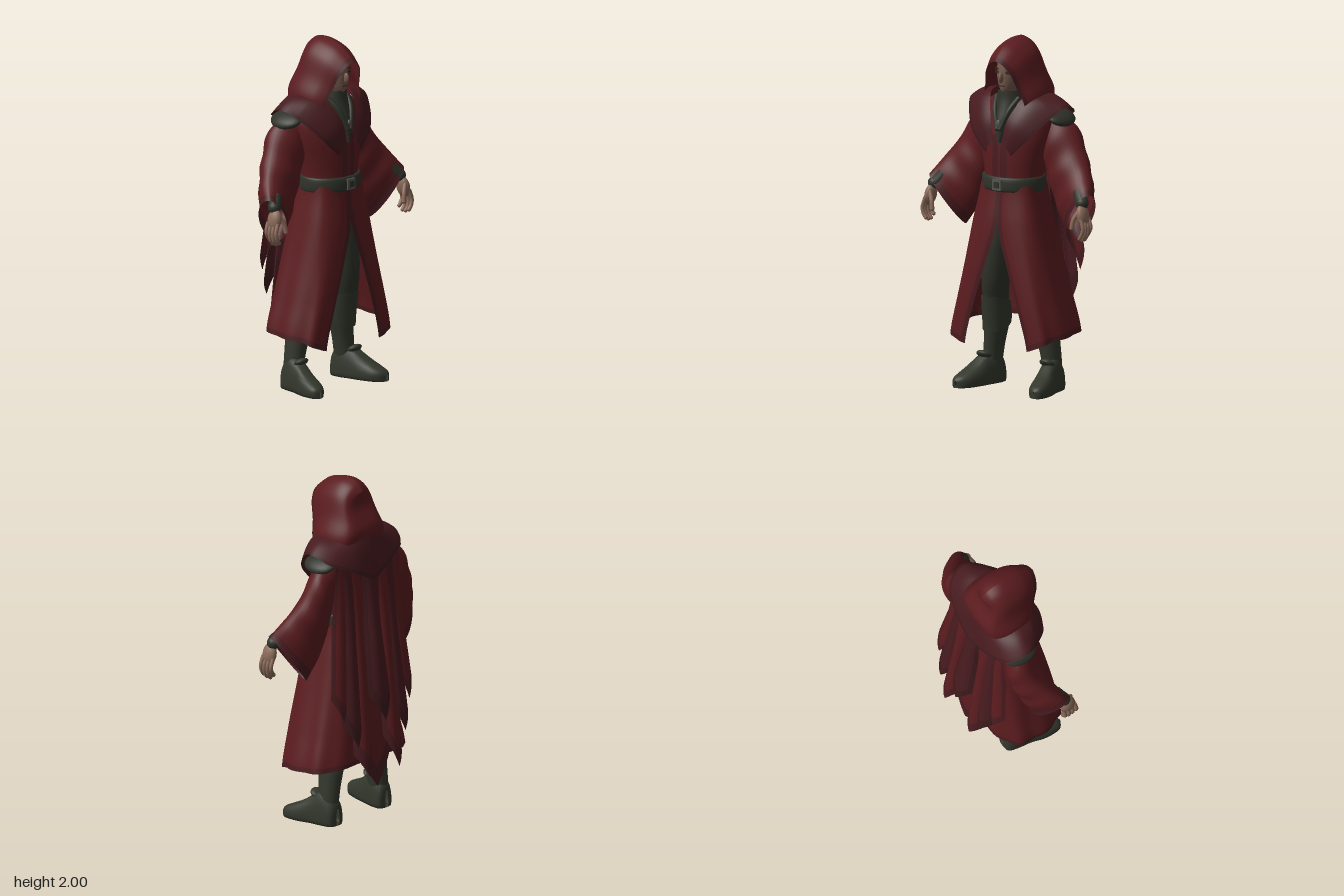
import * as THREE from 'three';
import { mergeVertices } from 'three/addons/utils/BufferGeometryUtils.js';

const material = (name, color) => {
  const m = new THREE.MeshStandardMaterial({ color, side: THREE.DoubleSide });
  m.name = name;
  return m;
};

export function createModel() {
  const model = new THREE.Group();
  model.name = 'hoodedFigure';
  const red = material('robe red', 0x5b1c1f);
  const trim = material('dark red trim', 0x471b1f);
  const deep = material('deep wine pattern', 0x3c191c);
  const green = material('dark olive cloth', 0x2f3229);
  const boot = material('boot leather', 0x33372c);
  const skin = material('hand skin', 0x8a6a59);
  const face = material('face skin', 0x745a4c);
  const dark = material('eye shadow', 0x33241f);
  const metal = material('buckle metal', 0x55554f);

  const add = (name, geo, mat) => {
    const m = new THREE.Mesh(geo, mat);
    m.name = name;
    model.add(m);
    return m;
  };

  // Smooth interpolation through table rows, t in 0..1
  const mix = (rows, t) => {
    const n = rows.length;
    const f = Math.min(Math.max(t, 0), 1) * (n - 1);
    const i = Math.min(Math.floor(f), n - 2), k = f - i;
    const r = (j) => rows[Math.min(Math.max(j, 0), n - 1)];
    return rows[0].map((_, c) => {
      const a = r(i - 1)[c], b = r(i)[c], d = r(i + 1)[c], e = r(i + 2)[c];
      return b + 0.5 * k * (d - a + k * (2 * a - 5 * b + 4 * d - e + k * (3 * (b - d) + e - a)));
    });
  };

  // Grid surface; pick(u, v) chooses a material index per cell
  const surf = (name, fn, nu, nv, mats, pick = () => 0) => {
    const pos = [], lists = [].concat(mats).map(() => []);
    for (let j = 0; j <= nv; j++) for (let i = 0; i <= nu; i++) pos.push(...fn(i / nu, j / nv));
    for (let j = 0; j < nv; j++) for (let i = 0; i < nu; i++) {
      const a = j * (nu + 1) + i, b = a + nu + 1;
      lists[pick((i + 0.5) / nu, (j + 0.5) / nv)].push(a, a + 1, b, a + 1, b + 1, b);
    }
    let geo = new THREE.BufferGeometry();
    geo.setAttribute('position', new THREE.Float32BufferAttribute(pos, 3));
    geo.setIndex(lists.flat());
    if (Array.isArray(mats)) {
      let start = 0;
      lists.forEach((l, k) => { geo.addGroup(start, l.length, k); start += l.length; });
    }
    geo = mergeVertices(geo, 1e-5);
    geo.computeVertexNormals();
    return add(name, geo, mats);
  };

  // Oval loft from rows [y, halfWidth, zFront, zBack]
  const oval = (rows) => (u, v) => {
    const [y, w, f, b] = mix(rows, v), a = u * Math.PI * 2;
    return [w * Math.sin(a), y, (f + b) / 2 + (f - b) / 2 * Math.cos(a)];
  };
  const ball = (name, mat, p, s, rot = [0, 0, 0]) => {
    const m = add(name, new THREE.SphereGeometry(1, 20, 14), mat);
    m.position.set(...p); m.scale.set(...s); m.rotation.set(...rot);
  };
  const tube = (name, mat, pts, r) => {
    const c = new THREE.CatmullRomCurve3(pts.map((p) => new THREE.Vector3(...p)));
    add(name, new THREE.TubeGeometry(c, 10, r, 10), mat);
    ball(name + 'Tip', mat, pts[pts.length - 1], [r, r, r]);
  };
  const box = (name, mat, p, s, rz = 0) => {
    const m = add(name, new THREE.BoxGeometry(...s), mat);
    m.position.set(...p); m.rotation.z = rz;
  };

  // Head and face
  surf('head', oval([[1.66, .04, .15, .04], [1.7, .038, .187, .03], [1.735, .056, .198, .02], [1.79, .072, .202, 0],
    [1.84, .074, .2, -.01], [1.89, .068, .185, 0], [1.93, .03, .13, .04], [1.94, 0, .09, .09]]), 28, 24, face);
  ball('nose', face, [0, 1.785, .206], [.012, .03, .02]);
  box('mouth', dark, [0, 1.738, .198], [.036, .005, .005]);
  for (const s of [1, -1]) {
    box('eye', dark, [s * .031, 1.815, .191], [.032, .014, .009]);
    box('brow', dark, [s * .033, 1.833, .19], [.036, .008, .009], s * .12);
  }

  // Hood built from pointed arches, front to back
  const arch = [[0, 1], [.2, .97], [.45, .77], [.72, .62], [.86, .45], [.95, .25], [1, 0]];
  // rows: zTop, yTop, zBase, yBase, halfWidth, nape bulge
  const hoodRows = [[.265, 1.89, .17, 1.6, .14, 0], [.17, 1.965, .11, 1.62, .18, 0], [.05, 2, .02, 1.63, .192, 0],
    [-.03, 1.985, -.06, 1.63, .175, .008], [-.07, 1.945, -.1, 1.64, .125, .02], [-.076, 1.93, -.112, 1.64, 0, .022]];
  surf('hood', (u, v) => {
    const s = u < .5 ? -1 : 1;
    const [h, f] = mix(arch, 1 - Math.abs(u * 2 - 1));
    const [zt, yt, zb, yb, w, bulge] = mix(hoodRows, v);
    return [s * w * f, yb + (yt - yb) * h, zb + (zt - zb) * h ** 1.3 - bulge * Math.sin(h * Math.PI * 2)];
  }, 48, 30, [red, trim], (u, v) => (v < .06 ? 1 : 0));

  // Scarf at the throat with a small clasp
  surf('scarf', oval([[1.42, .02, .236, .1], [1.52, .055, .232, .05], [1.6, .084, .208, 0], [1.66, .08, .192, 0],
    [1.71, .068, .188, .02]]), 28, 14, green);
  ball('clasp', metal, [0, 1.53, .232], [.014, .022, .01]);
  for (const s of [1, -1]) tube('scarfFold', green, [[s * .075, 1.67, .14], [s * .05, 1.61, .195], [s * .01, 1.5, .232]], .014);

  // Robe body with dark placket
  const torsoRows = [[1.12, .18, .22, -.08], [1.22, .175, .22, -.07], [1.33, .195, .222, -.08], [1.45, .225, .215, -.1],
    [1.56, .23, .19, -.115], [1.64, .17, .16, -.11], [1.68, .08, .12, -.06]];
  surf('robeBody', oval(torsoRows), 40, 24, red);
  for (const s of [1, -1]) surf('placket', (u, v) => {
    const [y, , f] = mix(torsoRows, .12 + v * .4);
    return [s * (.008 + .04 * u), y, f + .005 - .004 * u];
  }, 3, 8, trim);

  // Mantle over the shoulders, front lapel to centre back
  const inner = [[.025, 1.42, .238], [.055, 1.55, .228], [.11, 1.67, .15], [.15, 1.69, .05], [.15, 1.69, -.03], [.1, 1.69, -.1], [0, 1.69, -.125]];
  const outer = [[.085, 1.355, .232], [.19, 1.46, .21], [.27, 1.56, .13], [.325, 1.625, .02], [.285, 1.575, -.1], [.15, 1.51, -.155], [0, 1.435, -.17]];
  for (const s of [1, -1]) surf('mantle', (u, v) => {
    const a = mix(inner, u), b = mix(outer, u), bow = .02 * Math.sin(v * Math.PI);
    return [s * (a[0] + (b[0] - a[0]) * v), a[1] + (b[1] - a[1]) * v + bow, a[2] + (b[2] - a[2]) * v + (a[2] > .1 ? bow * .6 : 0)];
  }, 32, 12, [trim, deep], (u, v) => (v > .92 ? 1 : 0));

  // Belt and buckle
  surf('belt', oval([[1.145, .17, .21, -.06], [1.145, .185, .238, -.082], [1.185, .188, .242, -.084], [1.222, .183, .236, -.08],
    [1.222, .168, .21, -.06]]), 40, 12, green);
  box('buckle', metal, [0, 1.183, .243], [.058, .062, .016]);
  box('buckleGap', green, [0, 1.183, .252], [.034, .034, .004]);

  // Long skirt, open at the front; rows: halfWidth, zFront, zBack, gap
  const skirtRows = [[.172, .215, -.068, 0], [.215, .245, -.095, .006], [.265, .258, -.12, .075], [.32, .262, -.14, .15], [.372, .258, -.155, .21]];
  surf('skirt', (u, v) => {
    const s = u < .5 ? -1 : 1, t = 1 - Math.abs(u * 2 - 1);
    const [w, f, b, g] = mix(skirtRows, v);
    const m = (f + b) / 2;
    const [x, z, hem] = mix([[g, f, .26], [g + (w - g) * .45, f, .285], [w * .93, m + (f - m) * .68, .32], [w, m - .02, .335],
      [w * .88, m + (b - m) * .72, .35], [w * .5, b, .365], [0, b, .37]], t);
    const fold = 1 + .02 * v * Math.sin(t * 34) * Math.min(1, t * 5);
    return [s * x * fold, 1.18 + (hem - 1.18) * v, m + (z - m) * fold];
  }, 96, 30, [red, trim], (u, v) => (v > .95 || Math.abs(u * 2 - 1) > .93 ? 1 : 0));

  // Pointed, cupped strips down the back: top x, low x, top half width, low half width, tip y, low z, cupping
  const strip = (x0, x1, h0, h1, tip, z1, cup, mats) => surf('backStrip', (u, v) => {
    const k = u * 2 - 1, z0 = -.125 + Math.abs(x0) * .12;
    const low = tip + .16 * Math.abs(k) * (1 - .15 * Math.sign(k * x1));
    return [x0 + (x1 - x0) * v + k * (h0 + (h1 - h0) * v), 1.6 + (low - 1.6) * v,
      z0 + (z1 - z0) * v ** .85 + cup * Math.min(1, v * 2) * k * k];
  }, 16, 24, mats, (u, v) => (Math.abs(u * 2 - 1) > .7 || v > .9 ? 1 : 0));
  strip(0, 0, .09, .115, .21, -.19, .02, [red, trim]);
  strip(0, 0, .05, .085, .62, -.255, .055, [trim, deep]);
  for (const s of [1, -1]) {
    strip(s * .1, s * .12, .05, .07, .31, -.245, .06, [red, trim]);
    strip(s * .15, s * .19, .05, .075, .5, -.225, .06, [trim, deep]);
    strip(s * .19, s * .265, .05, .06, .66, -.185, .045, [red, trim]);
  }

  // Sleeve rows: upper point, lower point, half depth
  const sleeveRows = [[.2, 1.6, -.01, .16, 1.4, -.01, .085], [.325, 1.52, -.01, .19, 1.31, -.01, .1], [.41, 1.37, .015, .225, 1.17, -.01, .1],
    [.49, 1.25, .07, .28, 1.02, 0, .09], [.54, 1.165, .13, .365, .885, .02, .08]];
  const legRows = [[.08, .98, .06, .095], [.11, .8, .07, .1], [.13, .62, .07, .09], [.145, .5, .05, .08], [.165, .36, .008, .078],
    [.19, .22, -.002, .066], [.205, .1, -.005, .06]];
  // Foot rows: x, z, half width, height
  const footRows = [[.2, -.074, .012, .1], [.2, -.06, .052, .14], [.207, 0, .064, .2], [.22, .07, .062, .165], [.238, .14, .066, .115],
    [.252, .21, .058, .08], [.262, .25, .038, .06], [.266, .268, .006, .04]];
  for (const s of [1, -1]) {
    surf('sleeve', (u, v) => {
      const [ax, ay, az, bx, by, bz, d] = mix(sleeveRows, v), a = u * Math.PI * 2;
      const c = Math.cos(a) / 2, n = d * Math.sin(a) * (1 + .05 * Math.sin(v * 26));
      return [s * ((ax + bx) / 2 + (ax - bx) * c - .4 * n), (ay + by) / 2 + (ay - by) * c, (az + bz) / 2 + (az - bz) * c + .9 * n];
    }, 32, 28, [red, trim], (u, v) => (v > .9 ? 1 : 0));
    ball('shoulderPad', green, [s * .263, 1.56, 0], [.075, .035, .105], [0, 0, -s * .5]);

    // Wrist, palm and fingers
    tube('wristWrap', green, [[s * .458, 1.175, .105], [s * .48, 1.145, .12], [s * .502, 1.12, .135]], .037);
    ball('palm', skin, [s * .517, 1.055, .15], [.03, .062, .046], [0, 0, s * .2]);
    for (let i = 0; i < 4; i++) {
      const z = .112 + i * .025, drop = i === 0 ? .02 : i === 3 ? .01 : 0;
      tube('finger', skin, [[s * .528, 1.04, z], [s * .545, .985, z + .003], [s * .537, .94 + drop, z + .004], [s * .522, .918 + drop, z + .003]], .0115);
    }
    tube('thumb', skin, [[s * .507, 1.08, .175], [s * .482, 1.03, .192], [s * .474, .985, .198]], .013);

    // Leg, boot shaft and foot
    surf('leg', (u, v) => {
      const [x, y, z, r] = mix(legRows, v), a = u * Math.PI * 2;
      return [s * (x + r * .86 * Math.sin(a)), y, z + r * Math.cos(a)];
    }, 22, 30, [green, boot], (u, v) => (v > .6 ? 1 : 0));
    surf('bootCuff', (u, v) => {
      const a = u * Math.PI * 2;
      const [x, , z, r] = mix(legRows, .52 + v * .17);
      const y = (.49 - .16 * v) + .03 * Math.cos(a) * (1 - 2 * v);
      return [s * (x + (r + .012) * .88 * Math.sin(a)), y, z + (r + .01) * Math.cos(a)];
    }, 22, 6, boot);
    surf('foot', (u, v) => {
      const [x, z, w, h] = mix(footRows, v), a = u * Math.PI * 2;
      const c = Math.cos(a), n = Math.sin(a);
      return [s * (x + w * Math.sign(n) * Math.abs(n) ** .7), c > 0 ? .03 + (h - .03) * c : .03 * (1 - Math.min(1, -c * 2)), z];
    }, 24, 24, boot);
    ball('bootTongue', boot, [s * .215, .165, .065], [.045, .02, .04], [-.5, 0, 0]);
  }
  ball('hips', green, [0, .96, .06], [.15, .13, .11]);
  return model;
}
